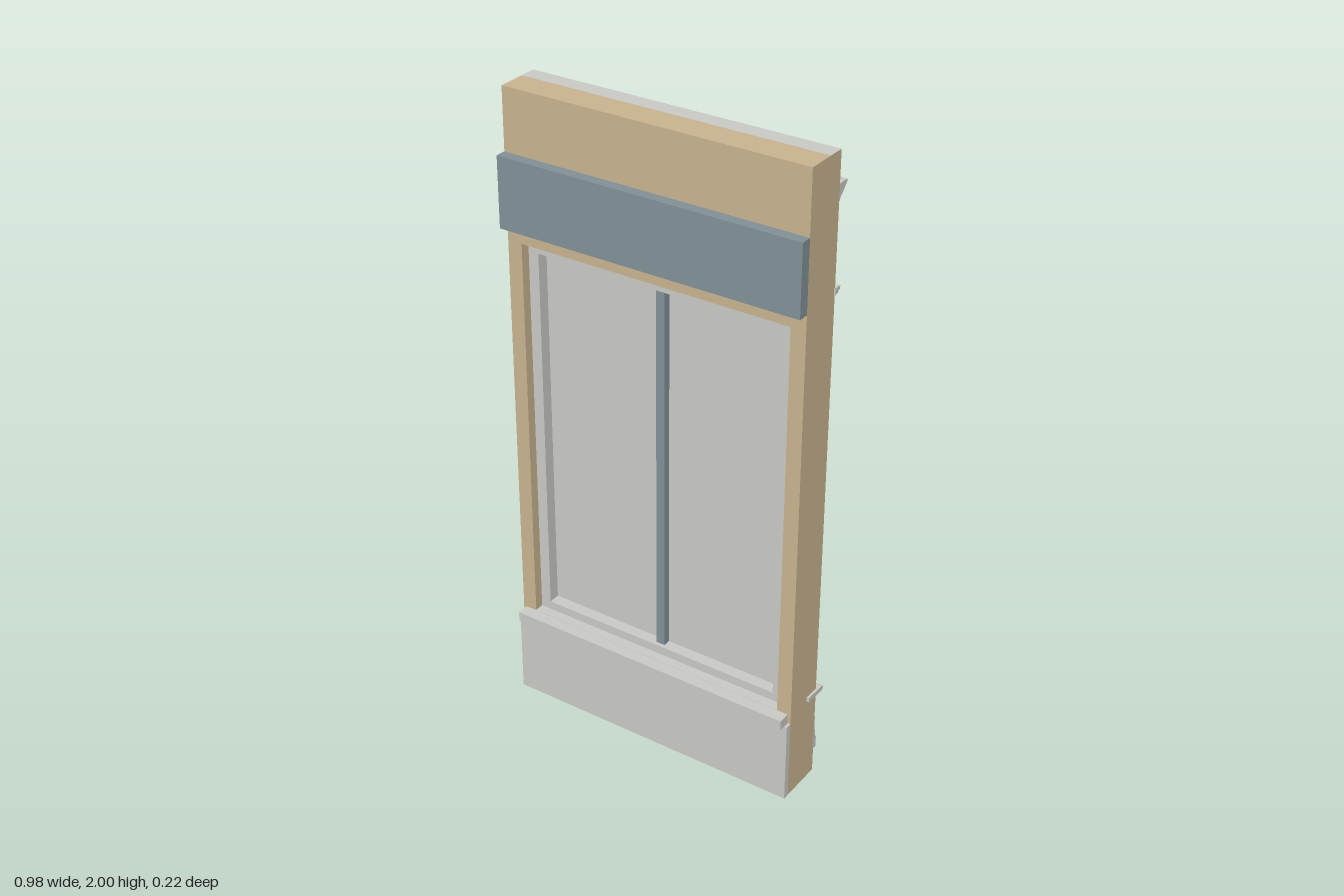
import * as THREE from 'three';

const stone = new THREE.MeshStandardMaterial({ color: 0xc8c8c4 });
stone.name = 'pale grey';
const tan = new THREE.MeshStandardMaterial({ color: 0xc8b390 });
tan.name = 'tan';
const slate = new THREE.MeshStandardMaterial({ color: 0x819096 });
slate.name = 'slate blue';

export function createModel() {
  const model = new THREE.Group();
  model.name = 'windowWallSection';

  const W = 0.483;                 // half width of the wall
  const OX = 0.436;                // half width of the opening
  const OB = 0.295, OT = 1.545;    // opening bottom and top

  const add = (name, geometry, material, parent = model) => {
    const mesh = new THREE.Mesh(geometry, material);
    mesh.name = name;
    parent.add(mesh);
    return mesh;
  };

  // Box given by its limits on each axis
  const block = (name, x0, x1, y0, y1, z0, z1, material) => {
    const g = new THREE.BoxGeometry(x1 - x0, y1 - y0, z1 - z0);
    g.translate((x0 + x1) / 2, (y0 + y1) / 2, (z0 + z1) / 2);
    return add(name, g, material);
  };

  // Moulding: a [z, y] section run along x
  const moulding = (name, half, points) => {
    const shape = new THREE.Shape(points.map(([z, y]) => new THREE.Vector2(z, y)));
    const g = new THREE.ExtrudeGeometry(shape, { depth: half * 2, bevelEnabled: false });
    g.rotateY(-Math.PI / 2);
    g.translate(half, 0, 0);
    return add(name, g, stone);
  };

  // Tan inner wall with the window opening
  const rect = (path, x, y0, y1) =>
    path.moveTo(-x, y0).lineTo(x, y0).lineTo(x, y1).lineTo(-x, y1).closePath();
  const ring = (x, y0, y1, hx, hy0, hy1, z0, z1) => {
    const shape = new THREE.Shape();
    rect(shape, x, y0, y1);
    const hole = new THREE.Path();
    rect(hole, hx, hy0, hy1);
    shape.holes.push(hole);
    const g = new THREE.ExtrudeGeometry(shape, { depth: z1 - z0, bevelEnabled: false });
    return g.translate(0, 0, z0);
  };
  add('innerWall', ring(W, 0, 2, OX, OB, OT, -0.018, 0.07), tan);

  // Grey outer wall with tan ends, above a tan foot
  const zo = -0.07, zi = -0.018;
  const ends = [tan, tan, stone, stone, stone, stone];
  block('outerWallFoot', -W, W, 0, 0.08, zo, zi, tan);
  block('outerWallBelow', -W, W, 0.08, OB, zo, zi, ends);
  block('outerWallAbove', -W, W, OT, 2, zo, zi, ends);
  block('outerWallLeft', OX, W, OB, OT, zo, zi, [tan, stone, stone, stone, stone, stone]);
  block('outerWallRight', -W, -OX, OB, OT, zo, zi, [stone, tan, stone, stone, stone, stone]);

  // Window frame, pane and centre mullion
  add('windowFrame', ring(OX, OB, OT, 0.402, 0.325, 1.512, -0.014, 0.04), stone);
  block('pane', -0.402, 0.402, 0.325, 1.512, -0.003, 0.003, stone);
  block('mullion', -0.014, 0.014, 0.325, 1.512, -0.009, 0.027, slate);

  // Inside face: blind box, lower panel and stool
  block('blindBox', -W, W, 1.593, 1.81, 0.07, 0.104, slate);
  block('lowerPanel', -W, W, 0, 0.265, 0.07, 0.09, stone);
  block('lowerPanelTop', -0.47, 0.47, 0.265, 0.285, 0.07, 0.09, stone);
  block('innerSill', -0.473, 0.473, 0.265, 0.296, 0.07, 0.109, stone);
  block('innerSillReturn', -OX, OX, 0.29, 0.297, 0.03, 0.071, stone);

  // Outside casing around the opening
  for (const s of [-1, 1]) {
    const a = s * OX, b = s * 0.468;
    block(s > 0 ? 'casingLeft' : 'casingRight',
      Math.min(a, b), Math.max(a, b), 0.3, OT, -0.08, -0.066, stone);
  }
  moulding('headCasing', 0.468, [[-0.066, OT], [-0.08, OT], [-0.08, 1.558], [-0.074, 1.564],
    [-0.074, 1.602], [-0.066, 1.602]]);

  // Outside mouldings
  moulding('headLedge', 0.487, [[-0.066, 1.592], [-0.078, 1.595], [-0.083, 1.602],
    [-0.09, 1.603], [-0.09, 1.613], [-0.066, 1.613]]);
  moulding('outerSill', 0.491, [[-0.018, 0.291], [-0.09, 0.289], [-0.097, 0.293],
    [-0.097, 0.301], [-0.09, 0.305], [-0.018, 0.306]]);
  moulding('sillApron', 0.475, [[-0.066, 0.25], [-0.074, 0.253], [-0.08, 0.262],
    [-0.08, 0.291], [-0.066, 0.291]]);
  moulding('plinth', W, [[-0.066, 0.08], [-0.084, 0.08], [-0.084, 0.115], [-0.079, 0.125],
    [-0.078, 0.14], [-0.073, 0.155], [-0.072, 0.2], [-0.066, 0.205]]);
  moulding('cornice', W, [[-0.066, 1.852], [-0.074, 1.86], [-0.077, 1.868], [-0.088, 1.876],
    [-0.096, 1.886], [-0.107, 1.898], [-0.107, 1.906], [-0.066, 1.906]]);

  return model;
}
